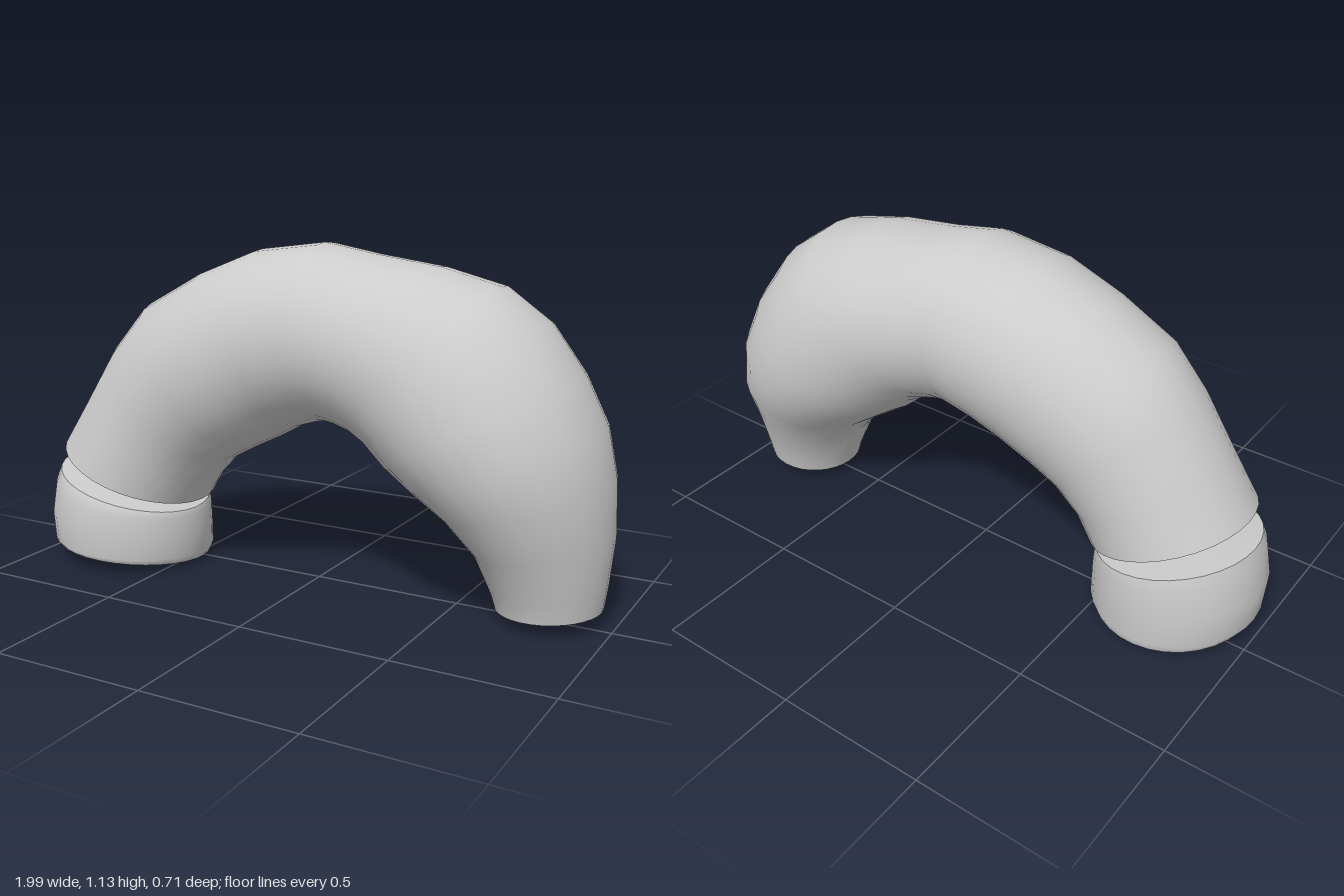
import * as THREE from 'three';

const SIDES = 32;

// Section: [x, y of one rim, x, y of the opposite rim, zMin, zMax, tilt along z]
function ring(s, scale = 1, lift = [0, 0]) {
  const [ax, ay, bx, by, z0, z1, tilt = 0] = s;
  const pts = [];
  for (let j = 0; j < SIDES; j++) {
    const a = (j / SIDES) * Math.PI * 2;
    const c = Math.cos(a) * scale, d = Math.sin(a) * scale;
    pts.push([
      (ax + bx) / 2 + (c * (ax - bx)) / 2 + lift[0],
      (ay + by) / 2 + (c * (ay - by)) / 2 + d * tilt + lift[1],
      (z0 + z1) / 2 + (d * (z1 - z0)) / 2,
    ]);
  }
  return pts;
}

// Smooth skin over a stack of rings
function skin(rings, name, material) {
  const index = [];
  for (let i = 0; i < rings.length - 1; i++) {
    for (let j = 0; j < SIDES; j++) {
      const k = (j + 1) % SIDES, a = i * SIDES, b = a + SIDES;
      index.push(a + j, b + j, a + k, b + j, b + k, a + k);
    }
  }
  const geo = new THREE.BufferGeometry();
  geo.setAttribute('position', new THREE.Float32BufferAttribute(rings.flat(2), 3));
  geo.setIndex(index);
  geo.computeVertexNormals();
  const mesh = new THREE.Mesh(geo, material);
  mesh.name = name;
  return mesh;
}

// Closed tube: wall plus a separate cap at each end, so the rims stay crisp
function closedTube(name, sections, startLift, endLift, material) {
  const group = new THREE.Group();
  group.name = name;
  const cap = (s, lift) => [1, 0.7, 0.35, 0.001].map((r) =>
    ring(s, r, lift.map((v) => v * (1 - r * r))));
  group.add(
    skin(sections.map((s) => ring(s)), name + 'Wall', material),
    skin(cap(sections[0], startLift).reverse(), name + 'StartCap', material),
    skin(cap(sections.at(-1), endLift), name + 'EndCap', material),
  );
  return group;
}

export function createModel() {
  const model = new THREE.Group();
  model.name = 'bentTube';
  const material = new THREE.MeshStandardMaterial({ color: 0xcccccc });

  // Arch, from the narrow foot over the crown to the cut end
  const arch = [
    [0.965, 0.05, 0.635, 0.03, -0.175, 0.16],
    [0.975, 0.12, 0.62, 0.08, -0.19, 0.175],
    [0.99, 0.28, 0.57, 0.2, -0.235, 0.23],
    [0.98, 0.45, 0.48, 0.3, -0.31, 0.3],
    [0.945, 0.61, 0.38, 0.37, -0.345, 0.34],
    [0.87, 0.76, 0.28, 0.44, -0.357, 0.355],
    [0.76, 0.91, 0.21, 0.5, -0.345, 0.345],
    [0.62, 1.01, 0.15, 0.53, -0.325, 0.325],
    [0.42, 1.06, 0.1, 0.545, -0.305, 0.31],
    [0.2, 1.09, 0.065, 0.55, -0.285, 0.3],
    [0.03, 1.12, 0.03, 0.545, -0.28, 0.31],
    [-0.2, 1.09, -0.05, 0.52, -0.275, 0.32],
    [-0.4, 1.01, -0.12, 0.48, -0.255, 0.325],
    [-0.6, 0.9, -0.22, 0.43, -0.24, 0.33],
    [-0.72, 0.76, -0.31, 0.38, -0.22, 0.325],
    [-0.83, 0.58, -0.38, 0.305, -0.2, 0.33],
    [-0.93, 0.42, -0.425, 0.225, -0.2, 0.345],
  ];
  model.add(closedTube('arch', arch, [0, 0], [-0.01, -0.035], material));

  // Short cuff below the cut end
  const cuff = [
    [-0.45, 0.005, -0.975, 0.04, -0.19, 0.345, 0.022],
    [-0.435, 0.03, -0.99, 0.06, -0.2, 0.355, 0.015],
    [-0.435, 0.11, -0.998, 0.17, -0.2, 0.357],
    [-0.438, 0.175, -0.975, 0.28, -0.195, 0.355],
    [-0.445, 0.195, -0.96, 0.33, -0.185, 0.335],
  ];
  model.add(closedTube('cuff', cuff, [0, 0], [0, 0.02], material));

  // Pinched neck joining the two
  const neck = [
    [-0.5, 0.2, -0.73, 0.26, -0.13, 0.22],
    [-0.52, 0.25, -0.7, 0.29, -0.1, 0.2],
    [-0.5, 0.27, -0.72, 0.35, -0.13, 0.22],
  ];
  model.add(closedTube('neck', neck, [0, 0], [0, 0], material));

  return model;
}
